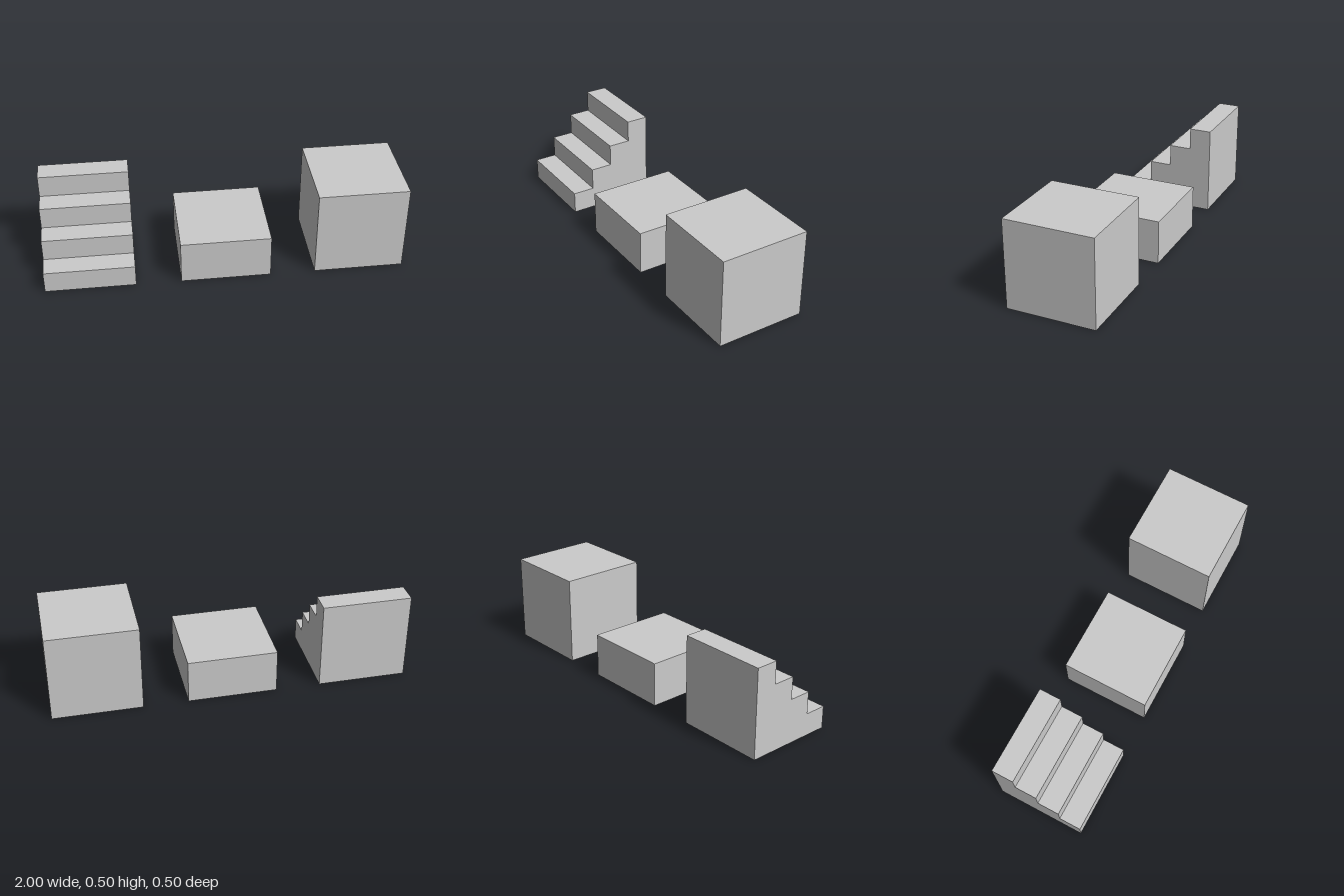
import * as THREE from 'three';

const SIZE = 0.5;
const STEPS = 4;

export function createModel() {
  const model = new THREE.Group();
  const material = new THREE.MeshStandardMaterial({ color: 0xcccccc, flatShading: true });

  function add(name, geometry, x) {
    const mesh = new THREE.Mesh(geometry, material);
    mesh.name = name;
    mesh.position.x = x;
    model.add(mesh);
  }

  // Block standing on the ground
  const block = (height) => new THREE.BoxGeometry(SIZE, height, SIZE).translate(0, height / 2, 0);

  // Stairs: stepped side profile (z, y) climbing to the back, extruded along x
  const step = SIZE / STEPS;
  const profile = new THREE.Shape();
  profile.moveTo(-SIZE / 2, 0);
  profile.lineTo(SIZE / 2, 0);
  for (let i = 0; i < STEPS; i++) {
    const y = (i + 1) * step;
    profile.lineTo(SIZE / 2 - i * step, y);
    profile.lineTo(SIZE / 2 - (i + 1) * step, y);
  }
  profile.closePath();
  const stairs = new THREE.ExtrudeGeometry(profile, { depth: SIZE, bevelEnabled: false });
  stairs.translate(0, 0, -SIZE / 2).rotateY(-Math.PI / 2);

  add('stairs', stairs, -0.75);
  add('halfBlock', block(SIZE / 2), 0);
  add('fullBlock', block(SIZE), 0.75);

  return model;
}
